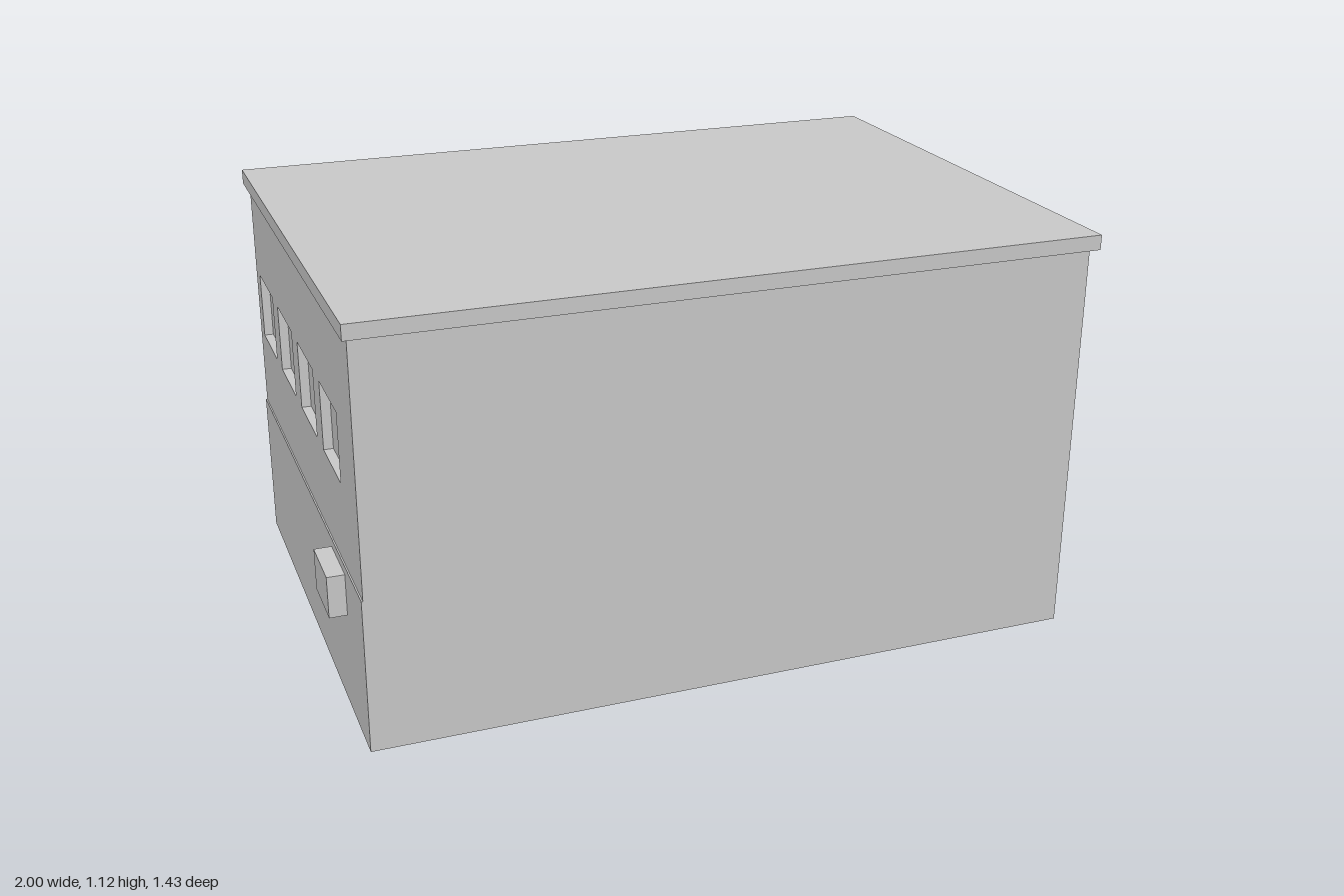
import * as THREE from 'three';

const material = new THREE.MeshStandardMaterial({ color: 0xcccccc });
const RECESS = 0.025;

function addMesh(group, name, geometry) {
  const mesh = new THREE.Mesh(geometry, material);
  mesh.name = name;
  group.add(mesh);
  return mesh;
}

// Box given by its minimum and maximum corners
function addBox(group, name, [x0, y0, z0], [x1, y1, z1]) {
  const mesh = addMesh(group, name, new THREE.BoxGeometry(x1 - x0, y1 - y0, z1 - z0));
  mesh.position.set((x0 + x1) / 2, (y0 + y1) / 2, (z0 + z1) / 2);
}

// Wall slab with doorways cut from the ground and a row of window holes
function wallGeometry(u0, u1, height, doors, windows) {
  const shape = new THREE.Shape();
  shape.moveTo(u0, 0);
  for (const [a, b, top] of doors) {
    shape.lineTo(a, 0);
    shape.lineTo(a, top);
    shape.lineTo(b, top);
    shape.lineTo(b, 0);
  }
  shape.lineTo(u1, 0);
  shape.lineTo(u1, height);
  shape.lineTo(u0, height);
  shape.closePath();
  for (let i = 0; i < windows.count; i++) {
    const a = windows.start + i * windows.pitch;
    const b = a + windows.width;
    const hole = new THREE.Path();
    hole.moveTo(a, 0.64);
    hole.lineTo(a, 0.825);
    hole.lineTo(b, 0.825);
    hole.lineTo(b, 0.64);
    hole.closePath();
    shape.holes.push(hole);
  }
  return new THREE.ExtrudeGeometry(shape, { depth: RECESS, bevelEnabled: false });
}

export function createModel() {
  const group = new THREE.Group();
  group.name = 'building';

  // Solid core; its faces form the recessed panes and doors
  addBox(group, 'core', [-0.95 + RECESS, 0, -0.67 + RECESS], [0.98, 1.08, 0.69]);

  // Back wall with six windows, a small door and a wide garage door
  const backWall = addMesh(group, 'backWall', wallGeometry(-0.95, 0.98, 1.08,
    [[0.005, 0.172, 0.29], [0.44, 0.843, 0.36]],
    { start: -0.765, pitch: 0.2765, width: 0.193, count: 6 }));
  backWall.position.z = -0.67;

  // Side wall with four windows
  const sideWall = addMesh(group, 'sideWall', wallGeometry(-0.67 + RECESS, 0.69, 1.08, [],
    { start: -0.61, pitch: 0.2985, width: 0.213, count: 4 }));
  sideWall.rotation.y = -Math.PI / 2;
  sideWall.position.x = -0.95 + RECESS;

  // Slightly thicker lower band on the side wall
  addBox(group, 'sidePlinth', [-0.954, 0, -0.67], [-0.95, 0.415, 0.69]);

  // Overhanging flat roof
  addBox(group, 'roof', [-0.965, 1.08, -0.695], [0.995, 1.12, 0.715]);

  // Half-round canopy above the small door
  const arch = new THREE.Shape();
  arch.moveTo(-0.107, -0.017);
  arch.lineTo(0.107, -0.017);
  arch.lineTo(0.107, 0);
  arch.absarc(0, 0, 0.107, 0, Math.PI, false);
  arch.closePath();
  const canopy = addMesh(group, 'doorCanopy',
    new THREE.ExtrudeGeometry(arch, { depth: 0.05, bevelEnabled: false, curveSegments: 16 }));
  canopy.position.set(0.079, 0.297, -0.72);

  // Air conditioning units on the back and side
  addBox(group, 'backAirUnit', [-0.825, 0.28, -0.72], [-0.68, 0.39, -0.67]);
  addBox(group, 'sideAirUnit', [-1, 0.277, 0.327], [-0.95, 0.39, 0.492]);

  return group;
}
